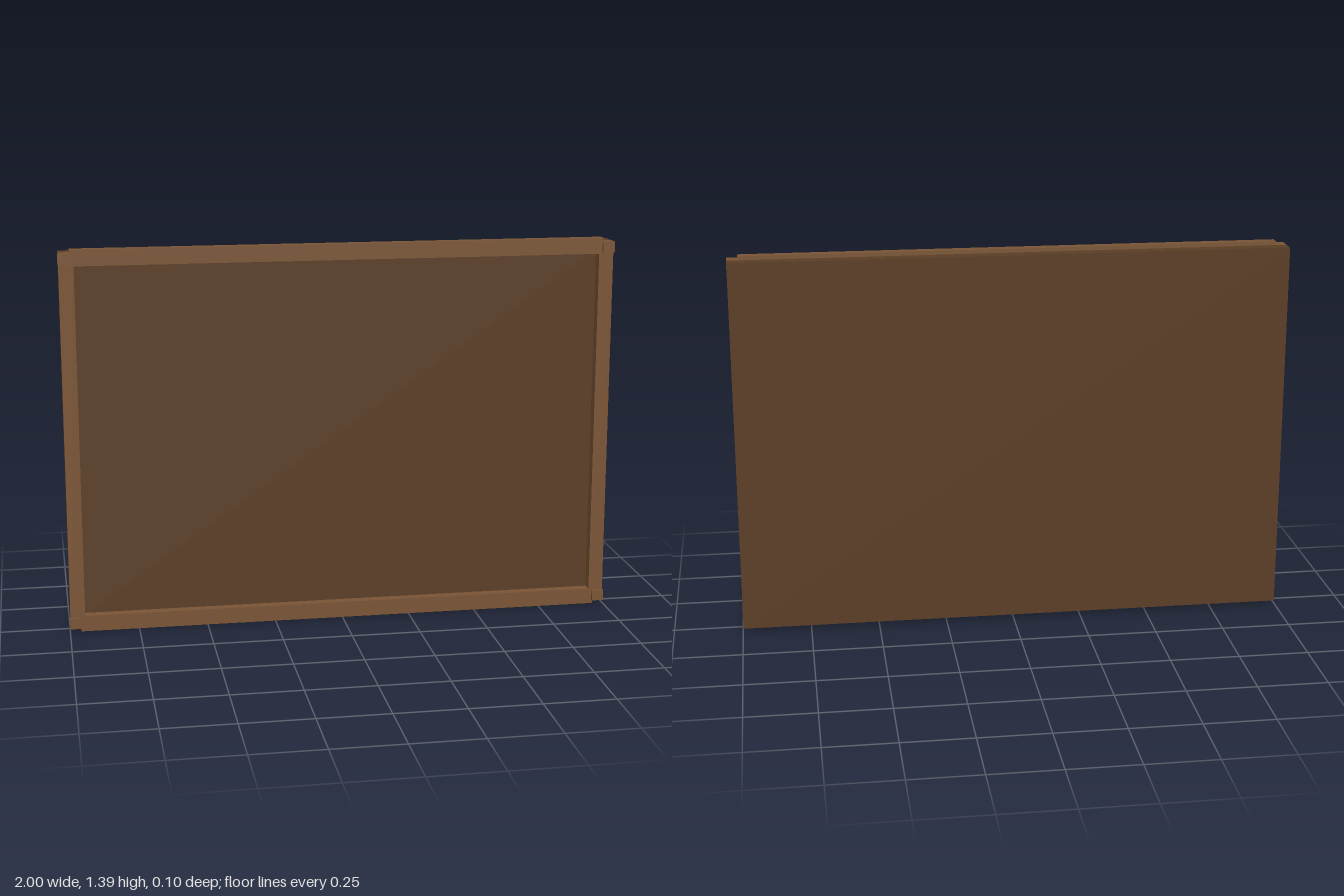
import * as THREE from 'three';

export function createModel() {
  const model = new THREE.Group();
  model.name = 'framedBoard';
  const darkWood = new THREE.MeshStandardMaterial({ color: 0x5a3d25 });
  darkWood.name = 'dark wood';
  const frameWood = new THREE.MeshStandardMaterial({ color: 0x7a5535 });
  frameWood.name = 'frame wood';

  // Box given by its minimum and maximum corners
  function box(name, material, [x0, y0, z0], [x1, y1, z1]) {
    const mesh = new THREE.Mesh(new THREE.BoxGeometry(x1 - x0, y1 - y0, z1 - z0), material);
    mesh.position.set((x0 + x1) / 2, (y0 + y1) / 2, (z0 + z1) / 2);
    mesh.name = name;
    model.add(mesh);
  }

  const height = 1.39, low = 0.013, high = height - low;

  // Back panel
  box('backPanel', darkWood, [-0.998, low, -0.05], [0.998, high, 0]);

  // Horizontal rails, standing slightly proud of the panel's top and bottom
  box('bottomRail', frameWood, [-0.96, 0, 0.004], [0.96, 0.058, 0.04]);
  box('topRail', frameWood, [-0.96, height - 0.058, 0.004], [0.96, height, 0.04]);

  for (const [side, s] of [['left', 1], ['right', -1]]) {
    // Upright stile
    const span = (a, b) => [Math.min(s * a, s * b), Math.max(s * a, s * b)];
    const [a, b] = span(0.945, 0.998);
    box(side + 'Stile', frameWood, [a, low, 0], [b, high, 0.04]);

    // Raised corner blocks
    const [c, d] = span(0.957, 1);
    box(side + 'BottomCorner', frameWood, [c, low, 0.03], [d, 0.053, 0.05]);
    box(side + 'TopCorner', frameWood, [c, height - 0.053, 0.03], [d, high, 0.05]);
  }
  return model;
}
